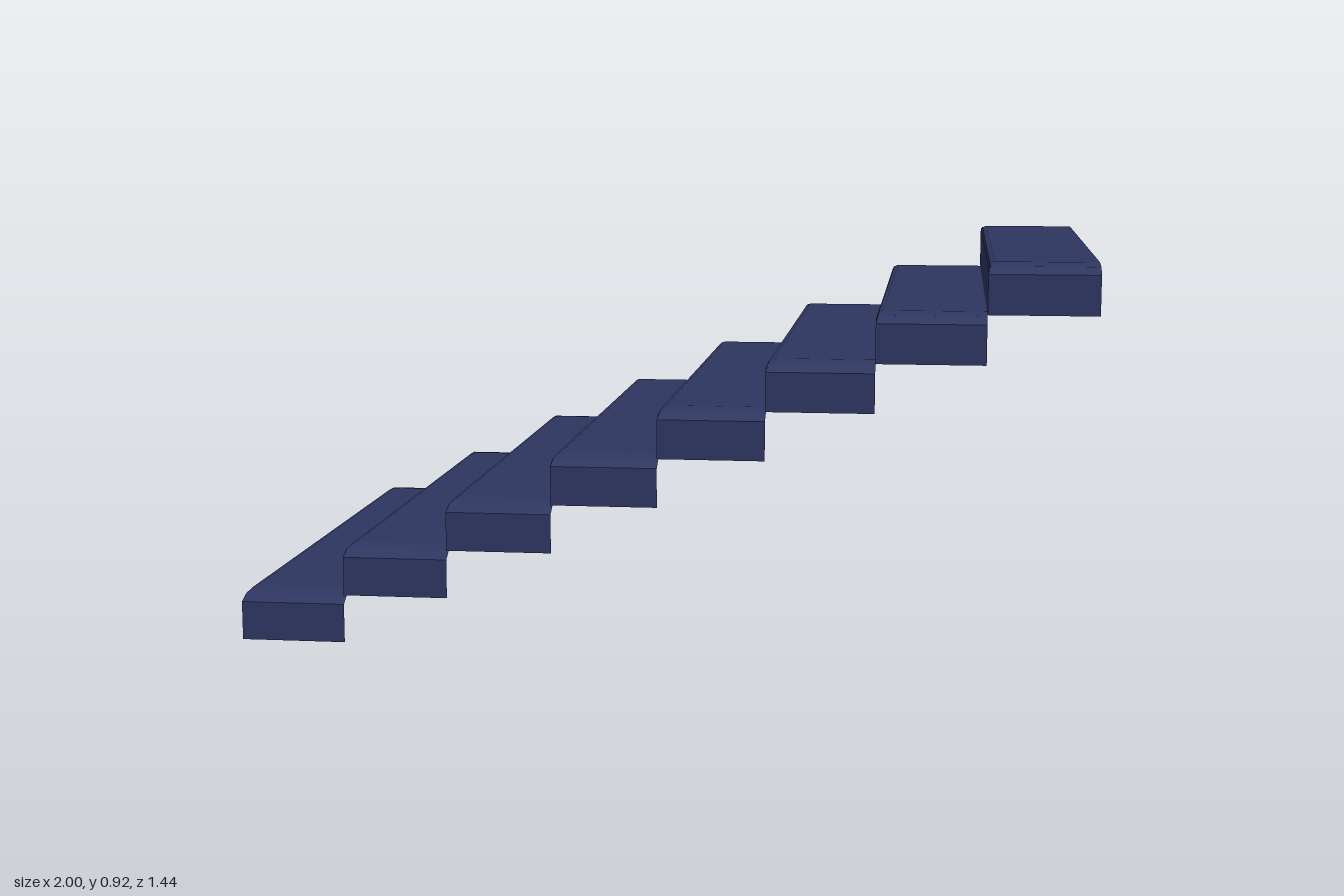
import * as THREE from 'three';

const STEPS = 8, RUN = 0.25, RISE = 0.1143, HEIGHT = 0.115;

// Open shell of one step: riser at -x, two sides, softened tread edges.
function stepGeometry() {
  // half outline across the tread, as [z, y]
  const half = [[0.718, 0], [0.718, 0.092], [0.693, 0.108], [0.643, HEIGHT]];
  const outline = [...half, ...half.slice().reverse().map(([z, y]) => [-z, y])];
  // sections along the run, as [x, height limit]
  const sections = [[0, 0], [0, 0.102], [0.004, 0.111], [0.015, HEIGHT], [RUN, HEIGHT]];

  const positions = [], index = [], n = outline.length;
  for (const [x, limit] of sections) {
    for (const [z, y] of outline) positions.push(x, Math.min(y, limit), z);
  }
  for (let i = 0; i < sections.length - 1; i++) {
    for (let j = 0; j < n - 1; j++) {
      const a = i * n + j, b = a + n;
      index.push(a, b, b + 1, a, b + 1, a + 1);
    }
  }
  const indexed = new THREE.BufferGeometry();
  indexed.setAttribute('position', new THREE.Float32BufferAttribute(positions, 3));
  indexed.setIndex(index);
  const geometry = indexed.toNonIndexed();
  geometry.computeVertexNormals();
  return geometry;
}

export function createModel() {
  const group = new THREE.Group();
  group.name = 'staircase';
  const navy = new THREE.MeshStandardMaterial({ color: 0x2e3660, side: THREE.DoubleSide });
  navy.name = 'navy';

  // Flight climbing towards +x
  const geometry = stepGeometry();
  for (let i = 0; i < STEPS; i++) {
    const step = new THREE.Mesh(geometry, navy);
    step.name = `step${i + 1}`;
    step.position.set(-1 + i * RUN, i * RISE, 0);
    group.add(step);
  }
  return group;
}
